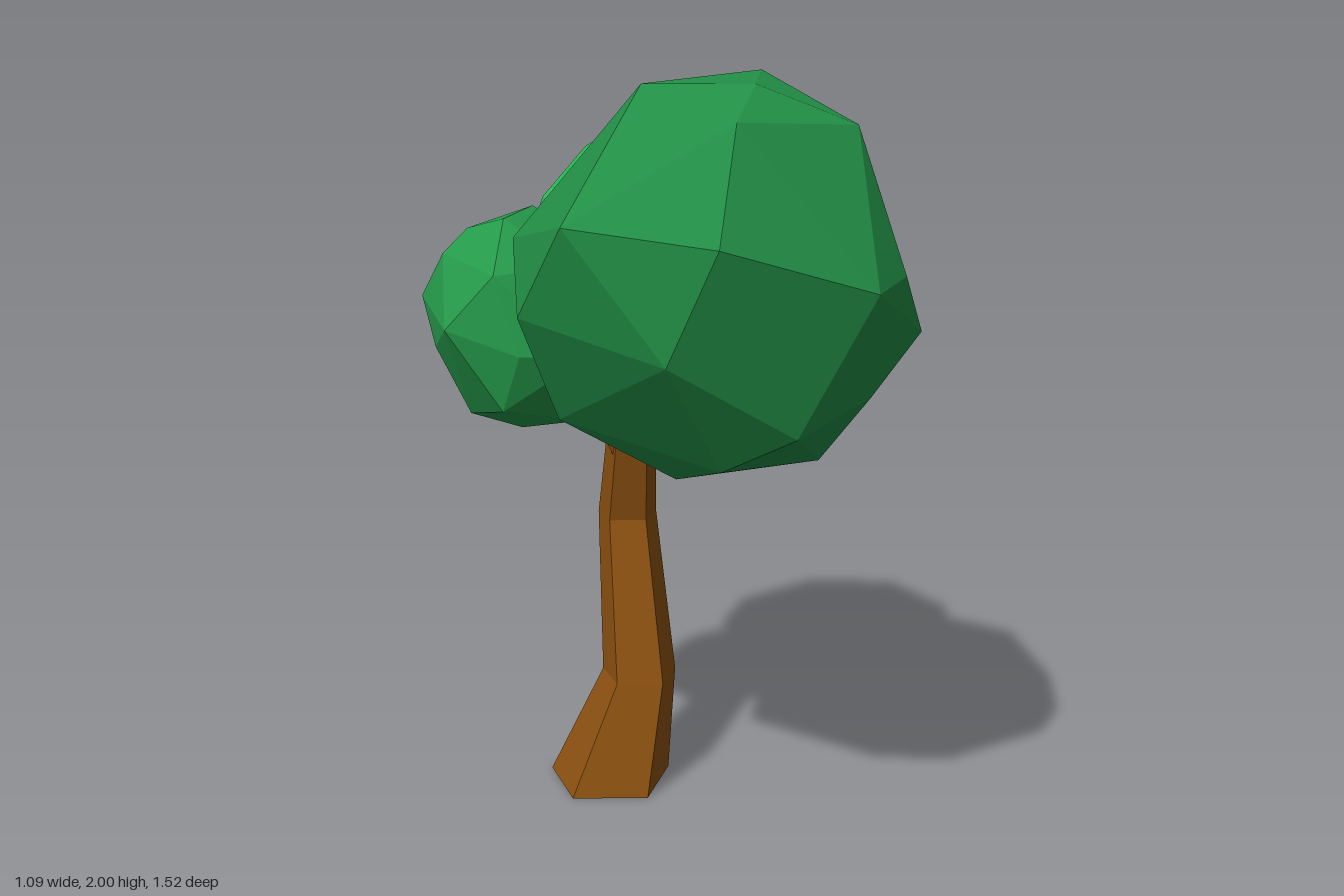
import * as THREE from 'three';
import { ConvexGeometry } from 'three/addons/geometries/ConvexGeometry.js';

const flat = (color) => new THREE.MeshStandardMaterial({ color, flatShading: true });

export function createModel() {
  const tree = new THREE.Group();
  tree.name = 'tree';
  const bark = flat(0x8b5010);
  const add = (name, geometry, material) => {
    const mesh = new THREE.Mesh(geometry, material);
    mesh.name = name;
    tree.add(mesh);
    return mesh;
  };

  // Trunk: five-sided column bent through rings of [y, centre x, centre z, radius]
  const rings = [
    [0, -0.06, -0.15, 0.18],
    [0.31, 0.03, -0.15, 0.11],
    [0.75, 0.04, -0.283, 0.088],
    [0.98, 0.033, -0.228, 0.074],
  ];
  const trunk = new THREE.CylinderGeometry(1, 1, 3, 5, 3, false, Math.PI / 2);
  const p = trunk.attributes.position;
  for (let i = 0; i < p.count; i++) {
    const [y, cx, cz, r] = rings[Math.round(p.getY(i) + 1.5)];
    p.setXYZ(i, cx + p.getX(i) * r, y, cz + p.getZ(i) * r);
  }
  trunk.computeVertexNormals();
  add('trunk', trunk, bark);

  // Branches: tapered limbs from the trunk top into each crown
  const branch = (name, from, to, r0, r1) => {
    const a = new THREE.Vector3(...from), b = new THREE.Vector3(...to);
    const dir = b.clone().sub(a);
    const mesh = add(name, new THREE.CylinderGeometry(r1, r0, dir.length(), 5), bark);
    mesh.position.copy(a).addScaledVector(dir, 0.5);
    mesh.quaternion.setFromUnitVectors(new THREE.Vector3(0, 1, 0), dir.normalize());
  };
  branch('frontBranch', [0.05, 0.97, -0.2], [0.08, 1.2, 0.015], 0.038, 0.022);
  branch('backBranch', [0.05, 0.96, -0.25], [0.16, 1.24, -0.42], 0.052, 0.036);
  branch('sideBranch', [0.02, 0.96, -0.225], [-0.14, 1.24, -0.21], 0.05, 0.032);

  // Crowns: irregular faceted hulls
  const crown = (name, points, color) =>
    add(name, new ConvexGeometry(points.map((v) => new THREE.Vector3(...v))), flat(color));
  crown('frontCrown', [
    [0.22, 2, 0.22], [-0.14, 1.97, 0.36], [0.09, 1.97, 0.49], [-0.01, 1.89, 0.62],
    [0.31, 1.88, 0.57], [0.28, 1.84, -0.1], [-0.1, 1.8, -0.12], [0.5, 1.75, 0.1],
    [-0.37, 1.66, 0.47], [-0.38, 1.6, 0.09], [-0.1, 1.63, 0.75], [0.28, 1.52, 0.76],
    [0.41, 1.54, 0.64], [0.1, 1.5, -0.25], [0.545, 1.42, 0.1], [0.54, 1.38, 0.49],
    [0.3, 1.7, -0.15], [0.4, 1.4, -0.13], [-0.2, 1.45, -0.17], [-0.42, 1.43, 0.27],
    [-0.18, 1.36, 0.64], [0.35, 1.25, 0.6], [0.13, 1.18, 0.67], [0.48, 1.2, 0.3],
    [-0.3, 1.16, 0.2], [0.05, 1.21, -0.08], [0.31, 1.055, 0.41], [0.2, 1.09, 0.18],
    [0, 1.08, 0.53], [-0.05, 1.025, 0.36],
  ], 0x228f46);
  crown('backCrown', [
    [0.06, 1.84, -0.44], [0.17, 1.84, -0.42], [0.12, 1.85, -0.35], [0.01, 1.78, -0.57],
    [0.37, 1.73, -0.54], [0.14, 1.82, -0.2], [-0.05, 1.75, -0.25], [-0.18, 1.66, -0.35],
    [0.445, 1.7, -0.24], [0.25, 1.65, -0.05], [-0.11, 1.6, -0.125], [-0.07, 1.43, -0.71],
    [0.14, 1.61, -0.735], [0.345, 1.55, -0.71], [0.14, 1.36, -0.76], [0.545, 1.48, -0.36],
    [0.49, 1.45, -0.15], [-0.25, 1.45, -0.39], [0.45, 1.4, -0.52], [0.2, 1.4, 0],
    [-0.1, 1.35, -0.08], [-0.14, 1.27, -0.57], [0.1, 1.28, -0.03], [0.47, 1.25, -0.19],
    [0.44, 1.22, -0.42], [0.25, 1.23, -0.7], [0, 1.22, -0.68], [-0.1, 1.18, -0.42],
    [0.3, 1.12, -0.2], [0, 1.12, -0.22], [0.12, 1.09, -0.3], [0.2, 1.075, -0.52],
  ], 0x2bb554);
  crown('sideCrown', [
    [-0.545, 1.42, -0.24], [-0.535, 1.36, -0.02], [-0.4, 1.42, -0.4], [-0.255, 1.36, -0.46],
    [-0.37, 1.3, 0.09], [-0.505, 1.54, -0.15], [-0.435, 1.6, -0.17], [-0.36, 1.63, -0.08],
    [-0.25, 1.65, -0.2], [-0.53, 1.295, -0.16], [-0.44, 1.11, -0.16], [-0.3, 1.06, -0.16],
    [-0.15, 1.08, -0.1], [-0.3, 1.12, -0.34], [-0.38, 1.54, -0.34], [-0.2, 1.56, -0.37],
    [-0.1, 1.4, -0.41], [-0.12, 1.2, -0.37], [-0.46, 1.22, -0.33], [-0.4, 1.15, 0.03],
    [-0.42, 1.5, 0.04], [-0.2, 1.3, 0.13], [-0.1, 1.55, -0.1], [0.04, 1.35, -0.15],
    [0, 1.2, -0.1], [-0.2, 1.52, 0.05],
  ], 0x259a4a);

  return tree;
}
